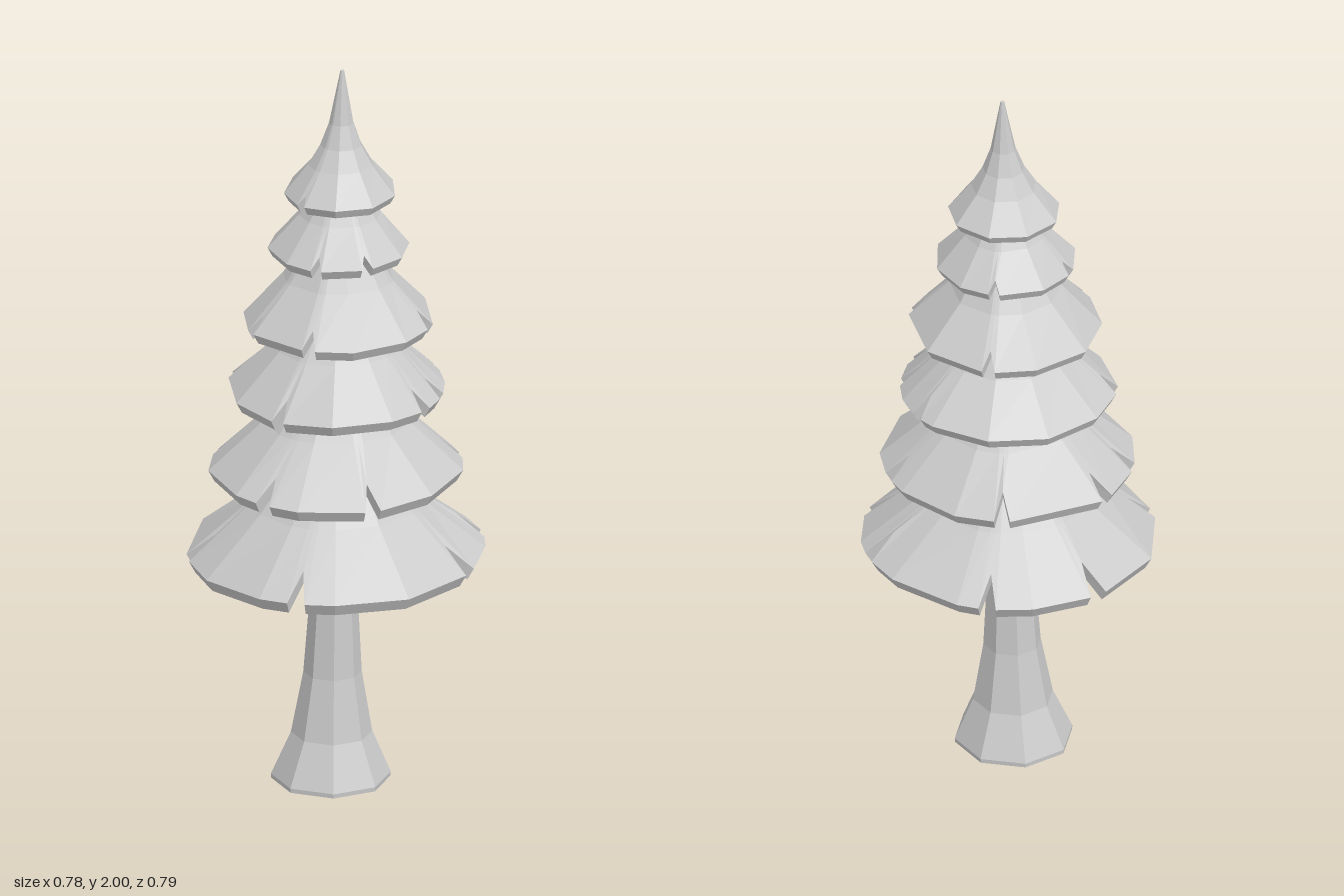
import * as THREE from 'three';

const material = new THREE.MeshStandardMaterial({ color: 0xcccccc, flatShading: true, side: THREE.DoubleSide });

// The whole tree leans very slightly towards its tip
const lean = (y) => [-0.007 + 0.014 * y, -0.006 * y];

// Faceted skin over rings of points, each ring running counterclockwise from the front
function skin(name, rings) {
  const n = rings[0].length;
  const position = rings.flat().flatMap(([angle, r, y]) => {
    const [cx, cz] = lean(y);
    return [cx + r * Math.sin(angle), y, cz + r * Math.cos(angle)];
  });
  const index = [];
  for (let i = 0; i < rings.length - 1; i++) {
    for (let j = 0; j < n; j++) {
      const a = i * n + j, b = i * n + (j + 1) % n;
      index.push(a, b, b + n, a, b + n, a + n);
    }
  }
  const geometry = new THREE.BufferGeometry();
  geometry.setAttribute('position', new THREE.Float32BufferAttribute(position, 3));
  geometry.setIndex(index);
  const flat = geometry.toNonIndexed();
  flat.computeVertexNormals();
  const mesh = new THREE.Mesh(flat, material);
  mesh.name = name;
  return mesh;
}

// Rim of a tier: corners of a polygon interrupted by V notches, as [angle, cut depth]
function rimColumns(sides, phase, notches, halfWidth, depth) {
  const gap = (a, b) => Math.abs((a - b + 540) % 360 - 180);
  const columns = [];
  for (let i = 0; i < sides; i++) {
    const deg = (phase + i * 360 / sides) % 360;
    if (notches.every((a) => gap(deg, a) > halfWidth + 8)) columns.push([deg, 0]);
  }
  for (const a of notches) {
    columns.push([(a - halfWidth + 360) % 360, 0], [a, depth], [(a + halfWidth) % 360, 0]);
  }
  return columns.sort((p, q) => p[0] - q[0]).map(([deg, cut]) => [THREE.MathUtils.degToRad(deg), cut]);
}

// Hollow skirt of foliage with a bevelled lip; higher tiers are smaller and steeper
function foliageTier(level, { R, y, notches }) {
  const steep = (0.36 + 0.031 * level) * R;
  const lip = 0.017 + 0.04 * R;
  const depth = (0.19 - 0.012 * level) * R;
  const phase = 20 + 15 * level;
  const columns = rimColumns(12 - Math.ceil(level / 2), phase, notches, 2.3 + 0.45 / R, depth);
  const ring = (r, h) => columns.map(([a]) => [a, r, h]);
  // the rim dips slightly at the front and undulates
  const rim = columns.map(([a, cut]) => {
    const wobble = 0.015 * R * Math.sin(3 * a + phase);
    return [a, R - cut + wobble, y + cut * steep / (0.42 * R) + wobble - 0.025 * R * Math.cos(a)];
  });
  const rings = [
    // underside
    ring(0.02, y + 1.8 * steep),
    ring(0.29 * R, y + 1.7 * steep - lip),
    ring(0.58 * R - 0.02, y + steep - lip),
    // lip
    rim.map(([a, r, h]) => [a, r - lip * 1.2, h - lip * 0.6]),
    rim.map(([a, r, h]) => [a, r - lip * 0.55, h - lip]),
    rim,
    // concave upper slope
    ring(0.58 * R, y + steep),
    ring(0.37 * R, y + 1.7 * steep),
    ring(0.22 * R, y + 2.5 * steep),
  ];
  if (level === tiers.length - 1) rings.push(ring(0.005, 2), ring(0, 2));
  return skin(`foliageTier${level + 1}`, rings);
}

// Rim radius, rim height and notch directions in degrees from the front
const tiers = [
  { R: 0.394, y: 0.645, notches: [5, 86, 122, 182, 227, 296] },
  { R: 0.337, y: 0.885, notches: [37, 120, 188, 242, 272, 345] },
  { R: 0.287, y: 1.105, notches: [75, 97, 135, 275, 346] },
  { R: 0.256, y: 1.305, notches: [2, 90, 180, 315] },
  { R: 0.188, y: 1.505, notches: [0, 43, 182, 260] },
  { R: 0.15, y: 1.66, notches: [335] },
];

export function createModel() {
  const tree = new THREE.Group();
  tree.name = 'pineTree';

  // Eight-sided trunk flaring at the foot, closed underneath
  const trunkProfile = [[0, 0], [0.157, 0], [0.158, 0.012], [0.107, 0.13], [0.077, 0.3], [0.058, 0.6], [0.05, 0.95]];
  const trunkAngles = Array.from({ length: 8 }, (_, i) => (i + 0.5) * Math.PI / 4);
  tree.add(skin('trunk', trunkProfile.map(([r, y]) => trunkAngles.map((a) => [a, r, y]))));

  // Foliage from the widest skirt up to the pointed top
  tiers.forEach((tier, level) => tree.add(foliageTier(level, tier)));
  return tree;
}
